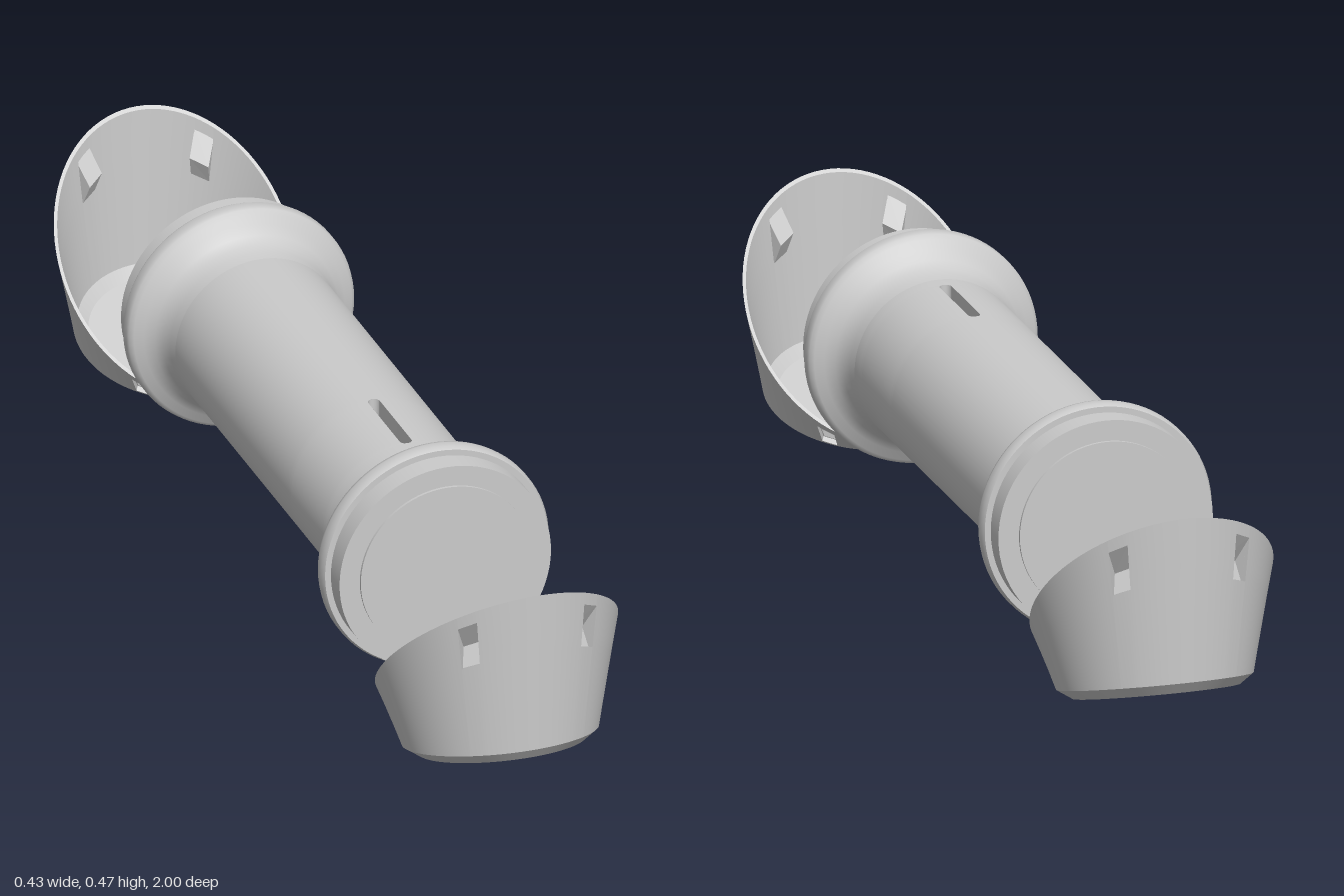
import * as THREE from 'three';

const grey = new THREE.MeshStandardMaterial({ color: 0xcccccc });
const grey2 = new THREE.MeshStandardMaterial({ color: 0xcccccc, side: THREE.DoubleSide });
const range = (a, b, n) => Array.from({ length: n + 1 }, (_, i) => a + (b - a) * i / n);

function add(parent, name, geometry, material = grey) {
  const mesh = new THREE.Mesh(geometry, material);
  mesh.name = name;
  parent.add(mesh);
  return mesh;
}

// Grid surface through point(u, v); cells for which skip(u, v) is true are left open
function surface(point, us, vs, { wrap = false, skip = () => false, flip = false } = {}) {
  const pos = [], index = [], n = us.length;
  for (const v of vs) for (const u of us) pos.push(...point(u, v));
  for (let j = 0; j < vs.length - 1; j++) {
    for (let i = 0; i < (wrap ? n : n - 1); i++) {
      const k = (i + 1) % n;
      const uNext = k ? us[k] : us[0] + Math.PI * 2;
      if (skip((us[i] + uNext) / 2, (vs[j] + vs[j + 1]) / 2)) continue;
      const a = j * n + i, b = j * n + k, c = a + n, d = b + n;
      index.push(...(flip ? [a, c, b, b, c, d] : [a, b, c, b, d, c]));
    }
  }
  const g = new THREE.BufferGeometry();
  g.setAttribute('position', new THREE.Float32BufferAttribute(pos, 3));
  g.setIndex(index);
  g.computeVertexNormals();
  return g;
}

// ---- Handle: bar along z with a slot through it and a flared collar at each end
const R = 0.155, HALF = 0.39, SLOT = { z0: 0.18, z1: 0.36, w: 0.011 };

function createHandle() {
  const handle = new THREE.Group();
  handle.name = 'handle';
  handle.position.y = 0.2575;

  const { z0, z1, w } = SLOT;
  const halfWidth = z => {
    if (z <= z0 || z >= z1) return 0;
    const d = Math.max(z0 + w - z, z - (z1 - w), 0);
    return Math.sqrt(Math.max(w * w - d * d, 0));
  };
  const rows = [-HALF, ...range(z0, z0 + w, 6), ...range(z1 - w, z1, 6), HALF];
  for (const side of [1, -1]) {
    const point = (u, z) => {
      const gap = Math.asin(halfWidth(z) / R);
      const a = gap + (Math.PI - 2 * gap) * u;
      return [side * R * Math.sin(a), R * Math.cos(a), z];
    };
    add(handle, side > 0 ? 'gripLeft' : 'gripRight',
      surface(point, range(0, 1, 40), rows, { flip: side > 0 }), grey2);
  }
  // Stadium-shaped walls inside the slot
  const slotPoint = (a, y) => {
    const end = Math.cos(a) >= 0 ? z1 - w : z0 + w;
    return [w * Math.sin(a), y, end + w * Math.cos(a)];
  };
  add(handle, 'slotWalls', surface(slotPoint, range(0.01, Math.PI * 2 - 0.3, 31), [-0.1546, 0.1546],
    { wrap: true }), grey2);

  // Flared flange, collar and end cap, mirrored by turning
  const flare = [[R, HALF], [0.157, 0.41], [0.162, 0.43], [0.172, 0.447], [0.188, 0.46],
    [0.204, 0.467], [0.211, 0.474], [0.213, 0.482], [0.213, 0.497], [0.209, 0.505]]
    .map(([r, y]) => new THREE.Vector2(r, y));
  const shoulder = [[0.209, 0.505], [0.198, 0.505]].map(p => new THREE.Vector2(...p));
  for (const s of [1, -1]) {
    const end = new THREE.Group();
    end.name = s > 0 ? 'frontEnd' : 'backEnd';
    end.rotation.x = s * Math.PI / 2;
    add(end, 'flange', new THREE.LatheGeometry(flare, 80), grey2);
    add(end, 'shoulder', new THREE.LatheGeometry(shoulder, 80), grey2);
    add(end, 'collar', new THREE.CylinderGeometry(0.198, 0.198, 0.048, 80)).position.y = 0.524;
    add(end, 'endCap', new THREE.CylinderGeometry(0.16, 0.16, 0.02, 80)).position.y = 0.543;
    handle.add(end);
  }
  return handle;
}

// ---- Cup: lofted between tilted elliptical rings (centre z,y / half-axis z,y / half-width x)
const ring = (z, y, dz, dy, w) => ({ z, y, dz, dy, w });
const DISC = ring(0.833, 0.0465, 0.143, 0.0435, 0.148);
const SHOULDER = ring(0.824, 0.0625, 0.169, 0.0505, 0.174);
const RIM = ring(0.805, 0.2275, 0.195, 0.1925, 0.216);
// Smaller copy of a ring, lifted along the cup's tilted axis
const inset = (r, t, lift) => {
  const k = (r.w - t) / r.w;
  return ring(r.z - 0.3 * lift, r.y + 0.95 * lift, r.dz * k, r.dy * k, r.w * k);
};
const onRing = (r, u) => [r.w * Math.sin(u), r.y + r.dy * Math.cos(u), r.z + r.dz * Math.cos(u)];
const between = (a, b) => (u, v) => {
  const p = onRing(a, u), q = onRing(b, u);
  return p.map((x, i) => x + (q[i] - x) * v);
};

// Pocket openings in the wall: angle range and height range
const deg = Math.PI / 180;
const POCKETS = [
  [28.2, 37.7, 0.63, 0.92], [139.5, 148.5, 0.06, 0.72],
].flatMap(([a, b, v0, v1]) => [
  { u0: a * deg, u1: b * deg, v0, v1 },
  { u0: (360 - b) * deg, u1: (360 - a) * deg, v0, v1 },
]);

function createCup(name) {
  const cup = new THREE.Group();
  cup.name = name;
  const t = 0.007;
  const discIn = inset(DISC, t / 2, t), shoulderIn = inset(SHOULDER, t, t), rimIn = inset(RIM, 0.006, 0);
  const centre = r => ring(r.z, r.y, 0, 0, 0);

  const us = [...range(0, Math.PI * 2, 96).slice(0, -1), ...POCKETS.flatMap(p => [p.u0, p.u1])]
    .sort((a, b) => a - b);
  const vs = [...new Set([0, 0.3, 1, ...POCKETS.flatMap(p => [p.v0, p.v1])])].sort((a, b) => a - b);
  const open = (u, v) => POCKETS.some(p => u > p.u0 && u < p.u1 && v > p.v0 && v < p.v1);
  const loft = (part, a, b, rows = [0, 1], skip = undefined) =>
    add(cup, part, surface(between(a, b), us, rows, { wrap: true, skip }), grey2);

  loft('base', centre(DISC), DISC);
  loft('chamfer', DISC, SHOULDER);
  loft('outerWall', SHOULDER, RIM, vs, open);
  loft('rim', RIM, rimIn);
  loft('innerWall', shoulderIn, rimIn, vs, open);
  loft('innerChamfer', discIn, shoulderIn);
  loft('floor', centre(discIn), discIn);

  // Wedge pockets: deepest towards the rim, projecting into the cup
  const wall = between(SHOULDER, RIM);
  const middle = new THREE.Vector3(0, 0.2, 0.815);
  for (const p of POCKETS) {
    const corner = (u, v, depth) => {
      const q = new THREE.Vector3(...wall(u, v));
      const inward = middle.clone().sub(new THREE.Vector3(...wall((p.u0 + p.u1) / 2, v))).normalize();
      return q.addScaledVector(inward, depth);
    };
    const A = corner(p.u0, p.v0, 0), B = corner(p.u1, p.v0, 0);
    const C = corner(p.u1, p.v1, 0), D = corner(p.u0, p.v1, 0);
    const vm = p.v0 + (p.v1 - p.v0) * 0.65;
    const e = [[p.u0, p.v0, 0.009], [p.u1, p.v0, 0.009], [p.u1, vm, 0.034], [p.u0, vm, 0.034]]
      .map(a => corner(...a));
    const outer = [A, B, C, D], faces = [e];
    for (let i = 0; i < 4; i++) faces.push([outer[i], outer[(i + 1) % 4], e[(i + 1) % 4], e[i]]);
    const points = faces.flatMap(([a, b, c, d]) => [a, b, c, a, c, d]);
    const g = new THREE.BufferGeometry().setFromPoints(points);
    g.computeVertexNormals();
    add(cup, 'pocket', g, grey2);
  }
  return cup;
}

export function createModel() {
  const model = new THREE.Group();
  model.name = 'handleWithCups';
  const back = createCup('backCup');
  back.rotation.y = Math.PI;
  model.add(createHandle(), createCup('frontCup'), back);
  return model;
}
